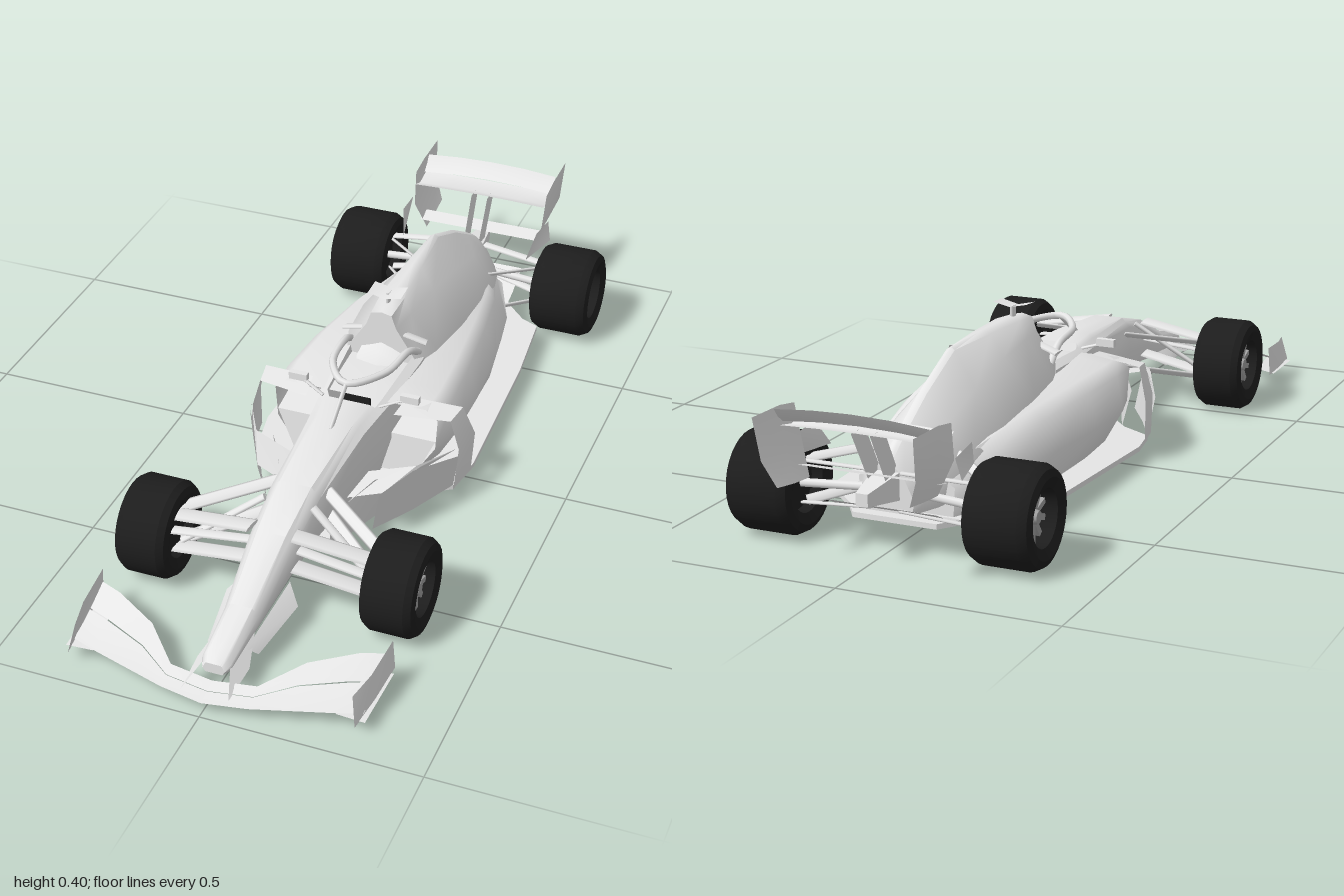
import * as THREE from 'three';
import { toCreasedNormals } from 'three/addons/utils/BufferGeometryUtils.js';

const mat = (name, color, side = THREE.FrontSide) => {
  const m = new THREE.MeshStandardMaterial({ color, side });
  m.name = name;
  return m;
};

export function createModel() {
  const car = new THREE.Group();
  car.name = 'openWheelRacingCar';
  const paint = mat('silver paint', 0xe6e6e6, THREE.DoubleSide);
  const rubber = mat('black rubber', 0x1d1d1d, THREE.DoubleSide);
  const metal = mat('rim metal', 0xa0a0a0);

  const add = (name, geo, material = paint, parent = car) => {
    const m = new THREE.Mesh(geo, material);
    m.name = name;
    parent.add(m);
    return m;
  };
  const indexed = (pos, idx, crease = 0.7) => {
    const g = new THREE.BufferGeometry();
    g.setAttribute('position', new THREE.Float32BufferAttribute(pos, 3));
    g.setIndex(idx);
    return toCreasedNormals(g, crease);
  };

  // Skin over mirrored half sections [z, [[x, y], ...]], listed front to back
  const loft = (sections, capFront = true, crease = 0.8) => {
    const pos = [], idx = [];
    let n = 0;
    for (const [z, half] of sections) {
      const ring = [...half, ...half.slice(1, -1).reverse().map(([x, y]) => [-x, y])];
      n = ring.length;
      ring.forEach(([x, y]) => pos.push(x, y, z));
    }
    const h = n / 2;
    for (let s = 0; s < sections.length - 1; s++)
      for (let i = 0; i < n; i++) {
        const a = s * n + i, b = s * n + (i + 1) % n;
        idx.push(a, a + n, b + n, a, b + n, b);
      }
    // Caps are stitched between the mirrored halves
    const cap = (o, front) => {
      for (let i = 0; i < h; i++) {
        const q = [o + i, o + i + 1, o + (n - i - 1) % n, o + (n - i) % n];
        const t = [q[0], q[1], q[2], q[0], q[2], q[3]];
        idx.push(...(front ? t : t.reverse()));
      }
    };
    if (capFront) cap(0, true);
    cap((sections.length - 1) * n, false);
    return indexed(pos, idx, crease);
  };

  // Surface through rows of equally many points
  const sheet = (rows) => {
    const w = rows[0].length, idx = [];
    for (let r = 0; r < rows.length - 1; r++)
      for (let i = 0; i < w - 1; i++) {
        const a = r * w + i;
        idx.push(a, a + 1, a + w + 1, a, a + w + 1, a + w);
      }
    return indexed(rows.flat(2), idx);
  };
  const flip = (p, s) => [p[0] * s, p[1], p[2]];
  const pairSheet = (name, rows) => {
    for (const s of [1, -1]) add(name, sheet(rows.map(r => r.map(p => flip(p, s)))));
  };

  // Bladed strut between two points, wide along the car
  const strut = (name, a, b, width = 0.024, thick = 0.008) => {
    const A = new THREE.Vector3(...a), B = new THREE.Vector3(...b);
    const g = new THREE.CylinderGeometry(0.5, 0.5, A.distanceTo(B), 8);
    g.scale(thick, 1, width);
    const m = add(name, g);
    m.position.copy(A).add(B).multiplyScalar(0.5);
    m.quaternion.setFromUnitVectors(new THREE.Vector3(0, 1, 0), B.sub(A).normalize());
  };

  // Nose and cockpit tub: z, half width, bottom, top, centre height
  const tub = [
    [0.92, 0.026, 0.055, 0.078, 0.08], [0.9, 0.036, 0.052, 0.088, 0.092],
    [0.77, 0.042, 0.06, 0.115, 0.122], [0.6, 0.056, 0.085, 0.185, 0.195],
    [0.46, 0.063, 0.09, 0.222, 0.232], [0.22, 0.075, 0.06, 0.238, 0.248],
    [0.13, 0.085, 0.045, 0.24, 0.245], [0.1, 0.09, 0.045, 0.242, 0.17],
    [-0.08, 0.105, 0.045, 0.255, 0.17], [-0.11, 0.105, 0.045, 0.255, 0.25],
  ];
  add('noseAndCockpit', loft(tub.map(([z, w, b, t, c]) => [z, [
    [0, b], [w * 0.75, b], [w, b + (t - b) * 0.45], [w * 0.95, t - 0.012],
    [w * 0.75, t], [w * 0.6, c], [0, c]]])));
  add('steeringWheel', new THREE.BoxGeometry(0.07, 0.04, 0.012), rubber).position.set(0, 0.215, 0.085);
  // Headrest sloping up to the roll hoop
  add('headrest', loft([[-0.01, 0.05, 0.185], [-0.06, 0.055, 0.265], [-0.1, 0.045, 0.295]]
    .map(([z, w, t]) => [z, [[0, 0.16], [w, 0.16], [w, t - 0.02], [0, t]]])));

  // Engine cover: z, top, roof half width, shoulder y and x, skirt y and x
  const cover = [
    [-0.08, 0.365, 0.026, 0.325, 0.038, 0.245, 0.09],
    [-0.16, 0.372, 0.03, 0.325, 0.047, 0.24, 0.115],
    [-0.3, 0.375, 0.022, 0.315, 0.055, 0.23, 0.13],
    [-0.46, 0.374, 0.01, 0.285, 0.06, 0.2, 0.135],
    [-0.6, 0.31, 0.01, 0.245, 0.06, 0.17, 0.12],
    [-0.7, 0.25, 0.01, 0.2, 0.055, 0.14, 0.095],
    [-0.77, 0.205, 0.012, 0.17, 0.04, 0.12, 0.065],
  ];
  add('engineCover', loft(cover.map(([z, t, r, sy, sx, ky, kx]) => [z, [
    [0, 0.09], [kx * 0.9, 0.09], [kx, ky], [sx, sy], [r, t - 0.006], [0, t]]]), true, 1));

  // Sidepods, open at the inlets: z, low, middle and high half widths, top
  const pods = [
    [0.09, 0.15, 0.2, 0.205, 0.235], [0, 0.18, 0.225, 0.21, 0.238],
    [-0.15, 0.19, 0.225, 0.2, 0.235], [-0.35, 0.19, 0.208, 0.175, 0.222],
    [-0.52, 0.165, 0.18, 0.145, 0.2], [-0.68, 0.11, 0.115, 0.1, 0.165],
  ];
  add('sidepods', loft(pods.map(([z, a, b, c, t]) => [z, [
    [0, 0.05], [a, 0.05], [b, 0.13], [c, t - 0.025], [c * 0.86, t], [0, t]]]), false, 1));
  pairSheet('inletLowerWall', [
    [[0.06, 0.05, 0.1], [0.155, 0.05, 0.1]], [[0.07, 0.15, 0.09], [0.2, 0.15, 0.09]],
    [[0.08, 0.165, 0.0], [0.2, 0.165, 0.0]]]);

  // Floor, tilted slightly nose down
  const plan = [[0.05, 0.42], [0.085, 0.25], [0.17, 0.15], [0.25, 0.1], [0.268, 0],
    [0.255, -0.4], [0.235, -0.61], [0.19, -0.63], [0.14, -0.68], [0.1, -0.74]];
  const outline = [...plan, ...plan.slice().reverse().map(([x, z]) => [-x, z])];
  const floorGeo = new THREE.ExtrudeGeometry(
    new THREE.Shape(outline.map(([x, z]) => new THREE.Vector2(x, -z))),
    { depth: 0.012, bevelEnabled: false });
  floorGeo.rotateX(-Math.PI / 2);
  const floor = add('floor', floorGeo);
  floor.position.y = 0.035;
  floor.rotation.x = 0.027;

  // Bargeboards, sidepod vanes and shelves
  pairSheet('innerBargeboard', [
    [[0.06, 0.035, 0.42], [0.11, 0.035, 0.28], [0.16, 0.04, 0.16]],
    [[0.065, 0.12, 0.4], [0.12, 0.15, 0.28], [0.18, 0.13, 0.17]]]);
  pairSheet('outerBargeboard', [
    [[0.13, 0.04, 0.32], [0.19, 0.04, 0.22], [0.25, 0.045, 0.1]],
    [[0.15, 0.15, 0.33], [0.2, 0.17, 0.24], [0.265, 0.14, 0.11]]]);
  pairSheet('bargeboardShelf', [
    [[0.075, 0.13, 0.34], [0.09, 0.14, 0.24]], [[0.155, 0.15, 0.32], [0.2, 0.17, 0.22]],
    [[0.21, 0.17, 0.22], [0.26, 0.16, 0.11]]]);
  pairSheet('sidepodVane', [
    [[0.255, 0.05, 0.11], [0.27, 0.05, 0.03]], [[0.262, 0.15, 0.1], [0.275, 0.15, 0.02]],
    [[0.24, 0.225, 0.1], [0.25, 0.23, 0.04]], [[0.11, 0.232, 0.13], [0.12, 0.242, 0.06]]]);

  // Front wing: two slotted elements on each side
  const span = [ // x, leading z and y, trailing z and y
    [0, 0.99, 0.03, 0.93, 0.043], [0.1, 0.975, 0.033, 0.92, 0.05],
    [0.18, 0.955, 0.037, 0.84, 0.075], [0.28, 0.93, 0.042, 0.79, 0.092],
    [0.335, 0.91, 0.042, 0.765, 0.088]];
  for (const [name, u0, u1] of [['frontWingMainPlane', 0, 0.54], ['frontWingFlap', 0.56, 1]])
    pairSheet(name, span.map(([x, lz, ly, tz, ty]) => [u0, (u0 + u1) / 2, u1].map(u =>
      [x, ly + (ty - ly) * u ** 1.4, lz + (tz - lz) * u])));
  pairSheet('frontWingEndplate', [
    [[0.33, 0.035, 0.95], [0.34, 0.035, 0.86], [0.345, 0.04, 0.75]],
    [[0.318, 0.1, 0.93], [0.333, 0.105, 0.86], [0.34, 0.113, 0.75]]]);
  pairSheet('endplateFoot', [
    [[0.28, 0.04, 0.93], [0.345, 0.036, 0.93]], [[0.3, 0.045, 0.78], [0.35, 0.04, 0.77]]]);
  pairSheet('frontWingPylon', [
    [[0.03, 0.07, 0.9], [0.036, 0.08, 0.78]], [[0.055, 0.036, 0.97], [0.06, 0.045, 0.87]]]);
  pairSheet('noseVane', [
    [[0.04, 0.07, 0.84], [0.05, 0.09, 0.62]], [[0.06, 0.045, 0.82], [0.085, 0.06, 0.66]]]);

  // Wheels: tyre, rim and spokes turned about the axle
  const wheel = (name, x, z, half) => {
    const g = new THREE.Group();
    g.name = name;
    const R = 0.114;
    const profile = [[0.062, -0.4], [0.064, -0.88], [0.088, -1], [0.104, -0.92], [R, -0.68],
      [R, 0.68], [0.104, 0.92], [0.088, 1], [0.064, 0.88], [0.062, 0.3]];
    add('tyre', toCreasedNormals(new THREE.LatheGeometry(
      profile.map(([r, t]) => new THREE.Vector2(r, t * half)), 32), 0.5), rubber, g);
    add('wheelDisc', new THREE.CylinderGeometry(0.062, 0.062, half * 0.9, 24), rubber, g)
      .position.y = -half * 0.1;
    add('hub', new THREE.CylinderGeometry(0.014, 0.022, half * 0.4, 12), metal, g).position.y = half * 0.5;
    for (let i = 0; i < 10; i++) {
      const geo = new THREE.BoxGeometry(0.046, 0.012, 0.013).translate(0.037, half * 0.48, 0);
      add('spoke', geo, metal, g).rotation.y = i * Math.PI / 5;
    }
    g.rotation.z = -Math.sign(x) * Math.PI / 2;
    g.position.set(x, R, z);
    car.add(g);
  };

  for (const s of [1, -1]) {
    wheel('frontWheel', s * 0.291, 0.567, 0.064);
    wheel('rearWheel', s * 0.279, -0.735, 0.079);
    const rod = (name, a, b, w, t) => strut(name, flip(a, s), flip(b, s), w, t);

    // Front suspension
    rod('frontUpperArm', [0.05, 0.195, 0.59], [0.245, 0.165, 0.575], 0.055, 0.01);
    rod('frontUpperArm', [0.06, 0.2, 0.42], [0.245, 0.165, 0.55], 0.03);
    rod('frontLowerArm', [0.045, 0.11, 0.59], [0.245, 0.075, 0.575], 0.055, 0.01);
    rod('frontLowerArm', [0.055, 0.12, 0.4], [0.245, 0.075, 0.55], 0.03);
    rod('frontPushrod', [0.058, 0.21, 0.5], [0.24, 0.08, 0.56], 0.02, 0.012);
    rod('steeringArm', [0.05, 0.15, 0.58], [0.245, 0.13, 0.59], 0.03);
    // Rear suspension and drive shaft
    rod('rearUpperArm', [0.05, 0.19, -0.58], [0.215, 0.17, -0.73]);
    rod('rearUpperArm', [0.035, 0.18, -0.77], [0.215, 0.17, -0.745]);
    rod('rearLowerArm', [0.07, 0.1, -0.56], [0.215, 0.075, -0.73]);
    rod('rearLowerArm', [0.035, 0.1, -0.78], [0.215, 0.075, -0.745]);
    rod('driveShaft', [0.03, 0.13, -0.735], [0.225, 0.115, -0.735], 0.02, 0.02);

    // Mirrors and roll hoop blades
    add('mirror', new THREE.BoxGeometry(0.045, 0.018, 0.015)).position.set(s * 0.14, 0.264, 0.1);
    rod('mirrorStalk', [0.07, 0.238, 0.12], [0.13, 0.26, 0.1], 0.012, 0.006);
    rod('hoopBlade', [0.03, 0.308, -0.1], [0.105, 0.285, -0.11], 0.03);
  }

  // Head protection hoop with its front pillar
  const hoop = new THREE.CatmullRomCurve3([[0.085, 0.255, -0.11], [0.08, 0.29, -0.05], [0.065, 0.3, 0.07],
    [0, 0.306, 0.15], [-0.065, 0.3, 0.07], [-0.08, 0.29, -0.05], [-0.085, 0.255, -0.11]]
    .map(p => new THREE.Vector3(...p)));
  add('cockpitHoop', new THREE.TubeGeometry(hoop, 32, 0.009, 8));
  strut('hoopPillar', [0, 0.305, 0.15], [0, 0.24, 0.25], 0.016, 0.01);

  // Roof camera
  strut('cameraStalk', [0, 0.36, -0.13], [0, 0.395, -0.13], 0.025, 0.01);
  add('roofCamera', sheet([-0.042, 0, 0.042].map(x =>
    [[x, x ? 0.4 : 0.39, -0.1], [x, x ? 0.403 : 0.394, -0.15]])));

  // Rear wing with a curved main plane, flap, endplates and lower beam
  const wingRows = (pts, lift) => [-0.178, -0.09, 0, 0.09, 0.178].map(x =>
    pts.map(([y, z]) => [x, y + lift * (1 - (x / 0.178) ** 2), z]));
  add('rearWingMainPlane', sheet(wingRows([[0.3, -0.81], [0.285, -0.85], [0.295, -0.9]], 0.004)));
  add('rearWingFlap', sheet(wingRows([[0.3, -0.885], [0.315, -0.905], [0.335, -0.92]], 0.01)));
  add('rearBeamWing', sheet([-0.165, 0, 0.165].map(x => [[x, 0.19, -0.82], [x, 0.2, -0.86]])));
  pairSheet('rearWingEndplate', [
    [[0.15, 0.165, -0.83], [0.15, 0.17, -0.89], [0.152, 0.18, -0.96]],
    [[0.178, 0.24, -0.81], [0.176, 0.24, -0.88], [0.176, 0.24, -0.98]],
    [[0.182, 0.325, -0.83], [0.182, 0.335, -0.89], [0.182, 0.338, -1]]]);
  pairSheet('rearWingPylon', [
    [[0.02, 0.15, -0.74], [0.02, 0.15, -0.8]], [[0.022, 0.29, -0.82], [0.022, 0.29, -0.88]]]);
  pairSheet('rearBrakeWinglet', [
    [[0.17, 0.2, -0.7], [0.2, 0.2, -0.82]], [[0.185, 0.26, -0.74], [0.19, 0.25, -0.83]]]);

  // Crash structure and diffuser
  add('crashStructure', loft([[-0.74, 0.035], [-0.88, 0.014]].map(([z, r]) =>
    [z, [[0, 0.15 - r], [r, 0.15 - r], [r, 0.15 + r], [0, 0.15 + r]]])));
  add('diffuser', sheet([-0.13, 0, 0.13].map(x => [[x, 0.055, -0.64], [x, 0.075, -0.73], [x, 0.11, -0.8]])));
  return car;
}
